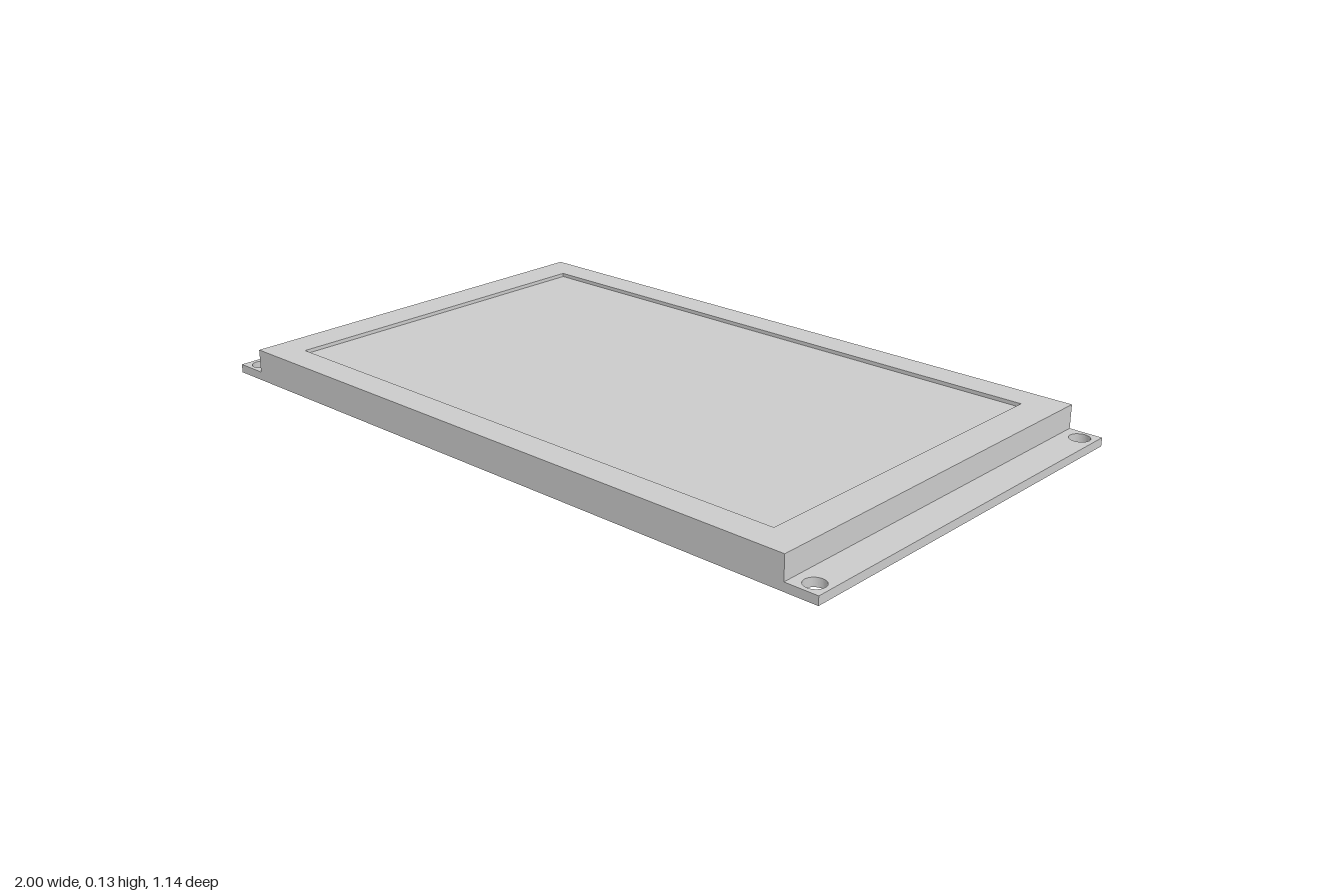
import * as THREE from 'three';

const grey = new THREE.MeshStandardMaterial({ color: 0xcccccc });

function rectangle(path, x0, y0, x1, y1) {
  path.moveTo(x0, y0);
  path.lineTo(x1, y0);
  path.lineTo(x1, y1);
  path.lineTo(x0, y1);
  path.closePath();
  return path;
}

function extrude(shape, depth) {
  return new THREE.ExtrudeGeometry(shape, { depth, bevelEnabled: false, curveSegments: 24 });
}

function addPart(parent, name, geometry) {
  const mesh = new THREE.Mesh(geometry, grey);
  mesh.name = name;
  parent.add(mesh);
  return mesh;
}

function addBox(parent, name, [x0, x1], [y0, y1], [z0, z1]) {
  const box = addPart(parent, name, new THREE.BoxGeometry(x1 - x0, y1 - y0, z1 - z0));
  box.position.set((x0 + x1) / 2, (y0 + y1) / 2, (z0 + z1) / 2);
  return box;
}

export function createModel() {
  const model = new THREE.Group();
  model.name = 'displayModule';
  const halfDepth = 0.57, boardBottom = 0.04, boardTop = 0.063, bezelTop = 0.127;

  // Circuit board with a mounting hole in each corner
  const board = rectangle(new THREE.Shape(), -1, -halfDepth, 1, halfDepth);
  for (const sx of [-1, 1]) {
    for (const sz of [-1, 1]) {
      board.holes.push(new THREE.Path().absarc(sx * 0.96, sz * 0.531, 0.027, 0, Math.PI * 2, true));
    }
  }
  const boardGeometry = extrude(board, boardTop - boardBottom).rotateX(-Math.PI / 2);
  addPart(model, 'circuitBoard', boardGeometry).position.y = boardBottom;

  // Raised bezel frame around the slightly sunken screen
  const frame = rectangle(new THREE.Shape(), -0.91, -halfDepth, 0.91, halfDepth);
  frame.holes.push(rectangle(new THREE.Path(), -0.815, -0.488, 0.815, 0.488));
  const frameGeometry = extrude(frame, bezelTop - boardTop).rotateX(-Math.PI / 2);
  addPart(model, 'bezel', frameGeometry).position.y = boardTop;
  addBox(model, 'screen', [-0.815, 0.815], [boardTop, bezelTop - 0.01], [-0.488, 0.488]);

  // Ribbon connector under the board, its slot opening towards +x
  const connector = new THREE.Group();
  connector.name = 'ribbonConnector';
  model.add(connector);
  const shell = rectangle(new THREE.Shape(), -0.268, 0, 0.44, boardBottom);
  shell.holes.push(rectangle(new THREE.Path(), -0.225, 0.018, 0.395, 0.032));
  const shellGeometry = extrude(shell, 0.055).rotateY(Math.PI / 2);
  addPart(connector, 'connectorShell', shellGeometry).position.x = 0.79;
  addBox(connector, 'connectorBack', [0.768, 0.79], [0, boardBottom], [-0.44, 0.268]);

  // Row of small contact pins behind the connector
  const pinCount = 40;
  for (let i = 0; i < pinCount; i++) {
    const z = -0.395 + (0.62 * i) / (pinCount - 1);
    addBox(connector, 'contactPin', [0.743, 0.768], [0.035, boardBottom], [z - 0.003, z + 0.003]);
  }
  return model;
}
